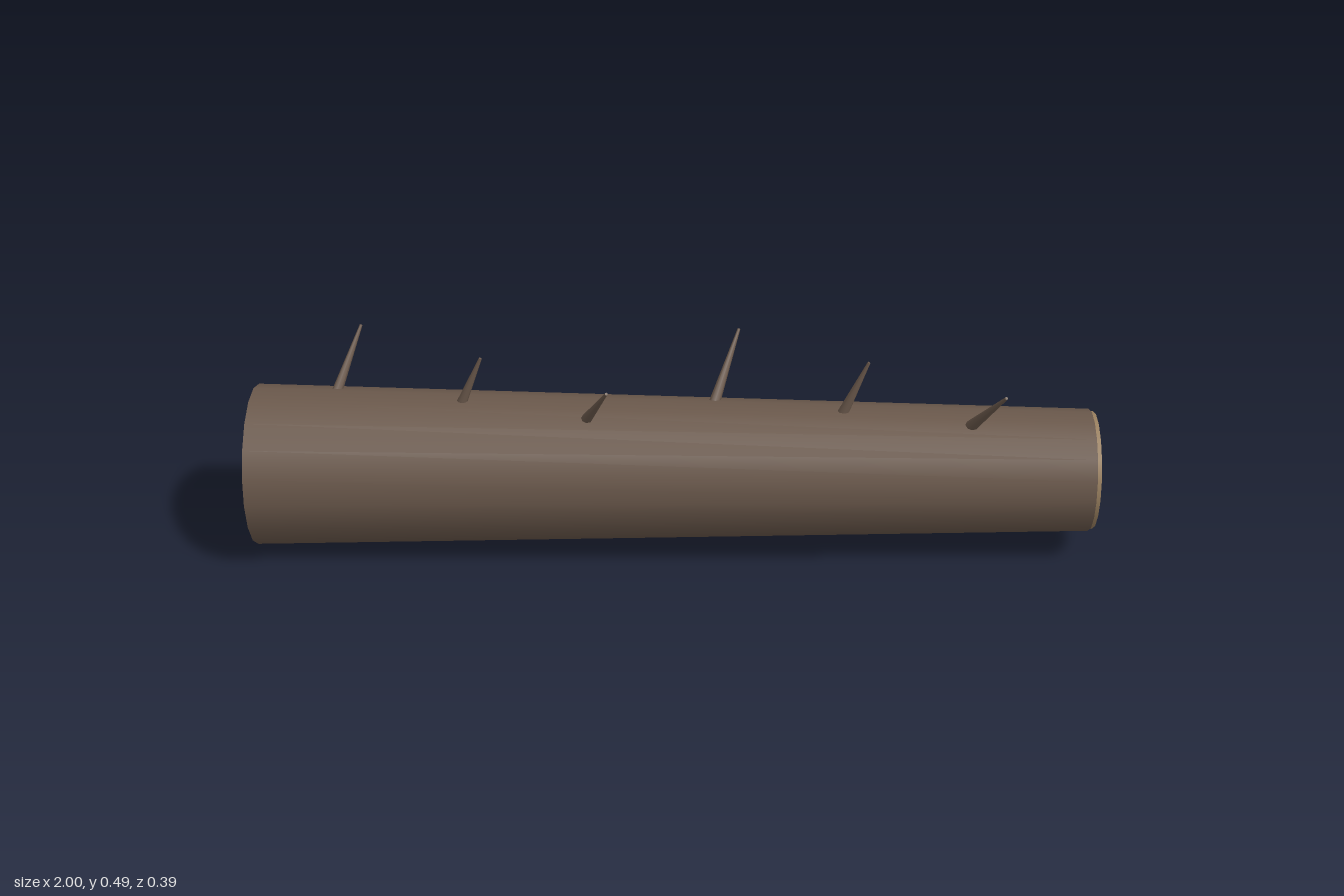
import * as THREE from 'three';

export function createModel() {
  const group = new THREE.Group();
  const bark = new THREE.MeshStandardMaterial({ color: 0x6b594c });
  bark.name = 'bark';
  const wood = new THREE.MeshStandardMaterial({ color: 0x9c8261 });
  wood.name = 'cutWood';

  const add = (name, geometry, material, parent) => {
    const mesh = new THREE.Mesh(geometry, material);
    mesh.name = name;
    parent.add(mesh);
    return mesh;
  };

  // Tapered log lying along x, rising very slightly towards the thin end
  const log = new THREE.Group();
  log.name = 'log';
  log.position.y = 0.195;
  log.rotation.z = -Math.PI / 2 + 0.005;
  group.add(log);
  add('trunk', new THREE.CylinderGeometry(0.146, 0.193, 1.99, 18), bark, log).position.y = -0.005;

  // Pale cut face on the thin end
  add('cutFace', new THREE.CylinderGeometry(0.141, 0.141, 0.02, 18), wood, log).position.y = 0.99;

  // Thorn-like twigs: leaning back, upright, leaning forward, repeated
  const up = new THREE.Vector3(0, 1, 0);
  for (let i = 0; i < 6; i++) {
    const lean = (i % 3) - 1;
    const tip = new THREE.Vector3(-0.755 + i * 0.3025, 0.485, lean * 0.163);
    const base = tip.clone().add(new THREE.Vector3(-0.068, -0.165, lean * -0.14));
    const axis = tip.clone().sub(base);
    const twig = add('twig' + (i + 1), new THREE.CylinderGeometry(0.0035, 0.0155, axis.length(), 8), bark, group);
    twig.position.copy(base).add(tip).multiplyScalar(0.5);
    twig.quaternion.setFromUnitVectors(up, axis.normalize());
  }
  return group;
}
